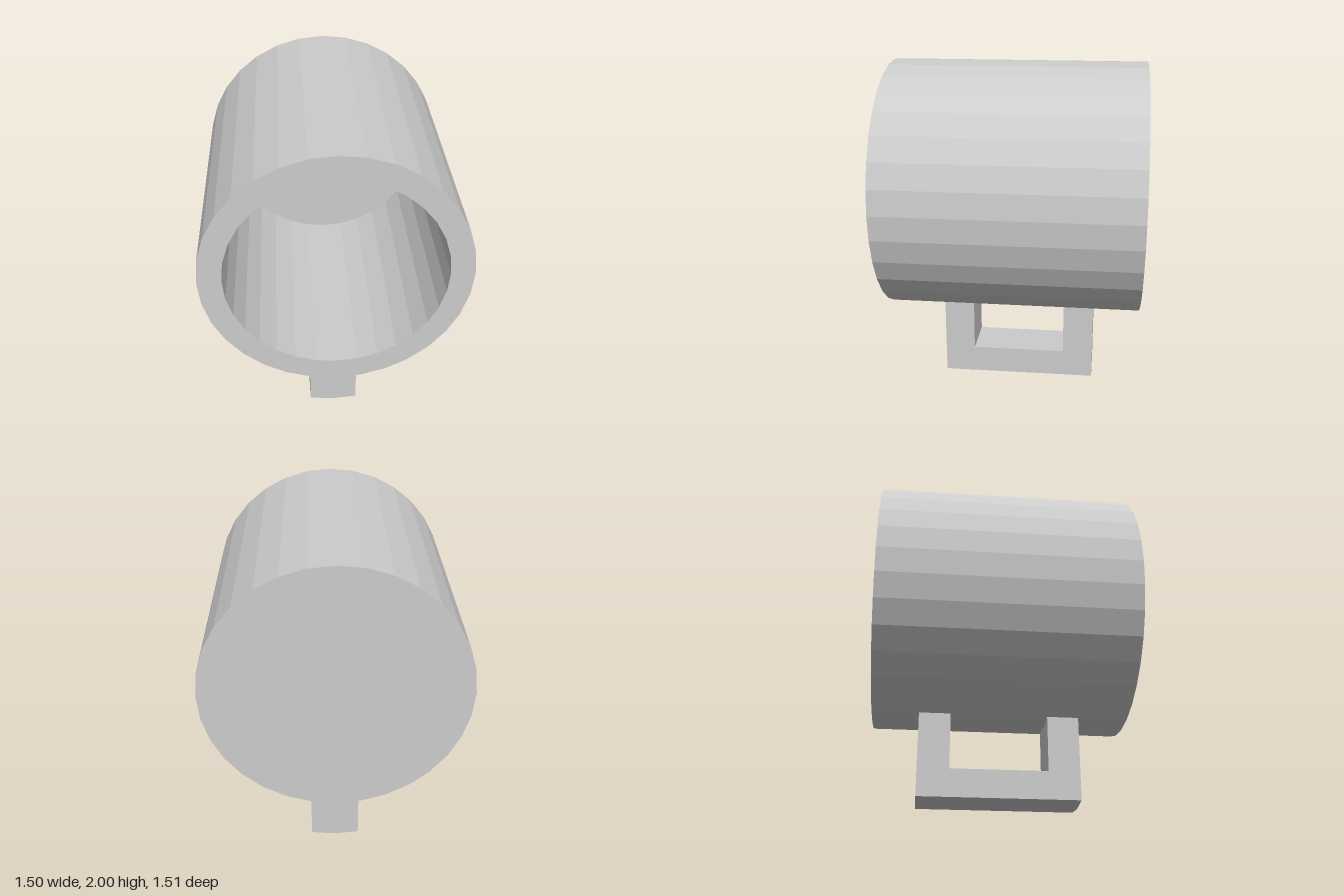
import * as THREE from 'three';

const R = 0.752, INNER = 0.617, HALF = 0.754, FLOOR = 0.135, SIDES = 32;
const CENTRE_Y = 2 - R;
// The handle is as wide as two facets of the cup, and its ends share their bend.
const HALF_W = R * Math.sin((2 * Math.PI) / SIDES);
const BEND = R * (1 - Math.cos((2 * Math.PI) / SIDES));

export function createModel() {
  const model = new THREE.Group();
  model.name = 'mug';
  const material = new THREE.MeshStandardMaterial({ color: 0xcccccc, flatShading: true });

  // Hollow cup lying on its side, open towards the front
  const profile = [
    [0, -HALF], [R, -HALF], [R, HALF], [INNER, HALF], [INNER, -HALF + FLOOR], [0, -HALF + FLOOR],
  ].map(([x, y]) => new THREE.Vector2(x, y));
  const cupGeometry = new THREE.LatheGeometry(profile, SIDES);
  cupGeometry.rotateX(Math.PI / 2);
  const cup = new THREE.Mesh(cupGeometry, material);
  cup.name = 'cup';
  cup.position.y = CENTRE_Y;
  model.add(cup);

  // U-shaped handle below the cup, drawn from the side as (z, y)
  const top = CENTRE_Y - R + BEND, bottom = BEND;
  const outline = [
    [-0.48, bottom], [0.46, bottom], [0.46, top], [0.275, top],
    [0.275, 0.18], [-0.295, 0.18], [-0.295, top], [-0.48, top],
  ].map(([z, y]) => new THREE.Vector2(z, y));
  const handleGeometry = new THREE.ExtrudeGeometry(new THREE.Shape(outline), {
    depth: 2 * HALF_W, steps: 2, bevelEnabled: false,
  });
  handleGeometry.translate(0, 0, -HALF_W);
  handleGeometry.rotateY(-Math.PI / 2);

  // Lower the middle of both ends so they follow the cup's facets
  const p = handleGeometry.attributes.position;
  for (let i = 0; i < p.count; i++) {
    const y = p.getY(i);
    const atEnd = Math.abs(y - top) < 0.001 || Math.abs(y - bottom) < 0.001;
    if (atEnd && Math.abs(p.getX(i)) < 0.001) p.setY(i, y - BEND);
  }
  handleGeometry.computeVertexNormals();
  const handle = new THREE.Mesh(handleGeometry, material);
  handle.name = 'handle';
  model.add(handle);

  return model;
}
